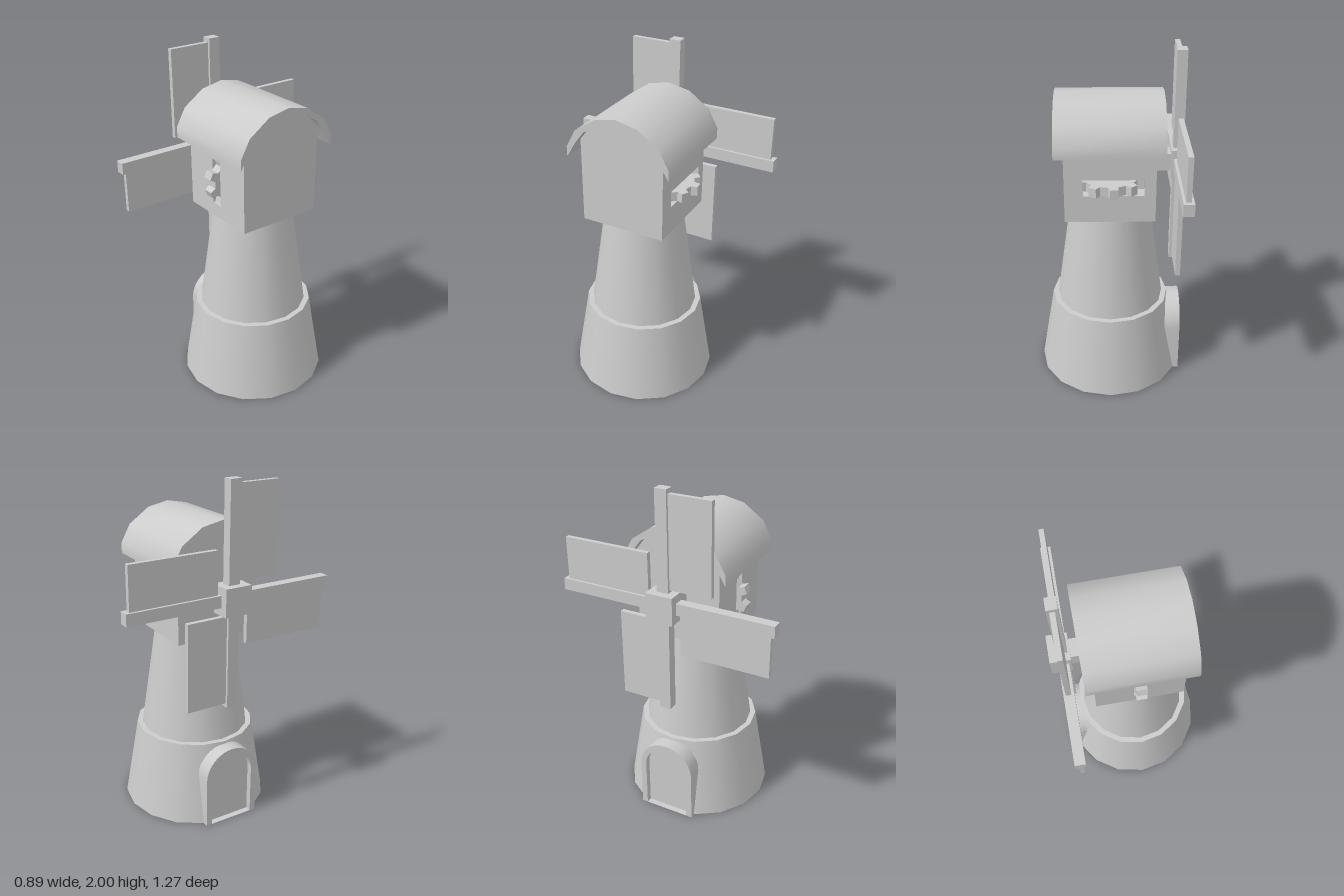
import * as THREE from 'three';
import { toCreasedNormals } from 'three/addons/utils/BufferGeometryUtils.js';

const CX = 0.012; // tower axis
const mat = new THREE.MeshStandardMaterial({ color: 0xcccccc });
const openMat = new THREE.MeshStandardMaterial({ color: 0xcccccc, side: THREE.DoubleSide });

function add(parent, name, geometry, material = mat) {
  const mesh = new THREE.Mesh(geometry, material);
  mesh.name = name;
  parent.add(mesh);
  return mesh;
}

// Box given by its limits on each axis
function box(x0, x1, y0, y1, z0, z1) {
  return new THREE.BoxGeometry(x1 - x0, y1 - y0, z1 - z0)
    .translate((x0 + x1) / 2, (y0 + y1) / 2, (z0 + z1) / 2);
}

const extrude = (shape, depth) =>
  new THREE.ExtrudeGeometry(shape, { depth, bevelEnabled: false, curveSegments: 8 });

// Extrude a side-on outline (drawn in -z, y) from x0 to x1
const extrudeX = (shape, x0, x1) =>
  toCreasedNormals(extrude(shape, x1 - x0).rotateY(Math.PI / 2).translate(x0, 0, 0), 0.6);

const shapeOf = (points) => new THREE.Shape(points.map((p) => new THREE.Vector2(...p)));

// Mirror a half outline running from the eave to the ridge
const mirrored = (half) => [...half, ...half.slice(0, -1).reverse().map(([z, y]) => [-z, y])];

function archShape(r, height) {
  const s = new THREE.Shape();
  s.moveTo(r, 0);
  s.lineTo(r, height - r);
  s.absarc(0, height - r, r, 0, Math.PI, false);
  s.lineTo(-r, 0);
  s.closePath();
  return s;
}

// Wall with one rectangular slot
function slottedWall(x0, x1, y0, y1, sx0, sx1, sy0, sy1) {
  const s = shapeOf([[x0, y0], [x1, y0], [x1, y1], [x0, y1]]);
  s.holes.push(new THREE.Path(
    [[sx0, sy0], [sx0, sy1], [sx1, sy1], [sx1, sy0]].map((p) => new THREE.Vector2(...p))));
  return extrude(s, 0.03);
}

// Toothed wheel lying in xy, centred on its own axis
function gearGeometry(radius, teeth, thickness, phase) {
  const pts = [];
  const root = radius - 0.035;
  for (let i = 0; i < teeth; i++) {
    for (const [f, r] of [[-0.28, root], [-0.18, radius], [0.18, radius], [0.28, root]]) {
      const a = ((i + f) / teeth) * Math.PI * 2 + phase;
      pts.push([Math.cos(a) * r, Math.sin(a) * r]);
    }
  }
  return extrude(shapeOf(pts), thickness).translate(0, 0, -thickness / 2);
}

function buildTower(root) {
  // Flared base, pushed in behind the doorway
  const base = new THREE.CylinderGeometry(0.35, 0.43, 0.48, 16, 1, true).translate(CX, 0.24, 0);
  const p = base.attributes.position;
  for (let i = 0; i < p.count; i++) {
    if (p.getX(i) < 0 && Math.abs(p.getZ(i)) < 0.05 && p.getY(i) < 0.1) p.setX(i, -0.33);
  }
  add(root, 'towerBase', base, openMat);
  add(root, 'baseLedge',
    new THREE.RingGeometry(0.3, 0.35, 16).rotateX(-Math.PI / 2).translate(CX, 0.48, 0), openMat);
  add(root, 'tower',
    new THREE.CylinderGeometry(0.23, 0.318, 0.62, 16, 1, true).translate(CX, 0.79, 0), openMat);

  // Arched doorway with its door set back
  const frame = archShape(0.17, 0.465);
  const inner = archShape(0.135, 0.43);
  const outline = frame.getPoints(8);
  const opening = inner.getPoints(8);
  add(root, 'doorFrame', extrudeX(new THREE.Shape([...outline, ...opening.reverse()]), -0.413, -0.3));
  add(root, 'door', extrudeX(inner, -0.378, -0.28));
}

function buildCabin(root) {
  const cabin = new THREE.Group();
  cabin.name = 'cabin';
  root.add(cabin);
  const [x0, x1] = [-0.238, 0.265];
  add(cabin, 'cabinFloor', box(x0, x1, 1.095, 1.125, -0.25, 0.25));
  add(cabin, 'frontWall',
    slottedWall(x0, x1, 1.095, 1.59, -0.023, 0.047, 1.175, 1.44).translate(0, 0, 0.22));
  add(cabin, 'backWall',
    slottedWall(x0, x1, 1.095, 1.59, -0.175, 0.165, 1.255, 1.35).translate(0, 0, -0.25));

  // Gable ends follow the underside of the roof
  const under = mirrored([[0.307, 1.495], [0.25, 1.59], [0.196, 1.66], [0.122, 1.702], [0, 1.72]]);
  const over = mirrored([[0.307, 1.557], [0.25, 1.66], [0.127, 1.745], [0, 1.77]]);
  const gable = shapeOf([[0.25, 1.095], ...under.slice(1, -1), [-0.25, 1.095]]);
  add(cabin, 'leftGable', extrudeX(gable, x1 - 0.03, x1));
  add(cabin, 'rightGable', extrudeX(gable, x0, x0 + 0.03));
  add(cabin, 'roof', extrudeX(shapeOf([...over, ...under.reverse()]), -0.285, 0.315));

  // Upright wheel at the front, flat wheel at the back
  add(cabin, 'frontGear',
    gearGeometry(0.15, 8, 0.06, Math.PI / 8).rotateY(Math.PI / 2).translate(CX, 1.31, 0.165));
  add(cabin, 'backGear',
    gearGeometry(0.195, 10, 0.055, Math.PI / 2 + 0.1).rotateX(-Math.PI / 2).translate(CX, 1.302, -0.14));
}

function buildSails(root) {
  const sails = new THREE.Group();
  sails.name = 'sails';
  sails.position.set(-0.372, 1.365, 0);
  root.add(sails);
  add(sails, 'shaft', box(0.04, 0.25, -0.05, 0.05, -0.053, 0.053));
  add(sails, 'hub', box(-0.073, 0.042, -0.08, 0.08, -0.08, 0.08));
  for (let i = 0; i < 4; i++) {
    const sail = new THREE.Group();
    sail.name = 'sail';
    sail.rotation.x = (i * Math.PI) / 2;
    add(sail, 'sailArm', box(-0.029, 0.029, 0.07, 0.635, -0.034, 0.034));
    add(sail, 'sailBlade', box(-0.014, 0.014, 0.095, 0.61, 0.03, 0.277));
    sails.add(sail);
  }
}

export function createModel() {
  const root = new THREE.Group();
  root.name = 'windmill';
  buildTower(root);
  buildCabin(root);
  buildSails(root);
  return root;
}
